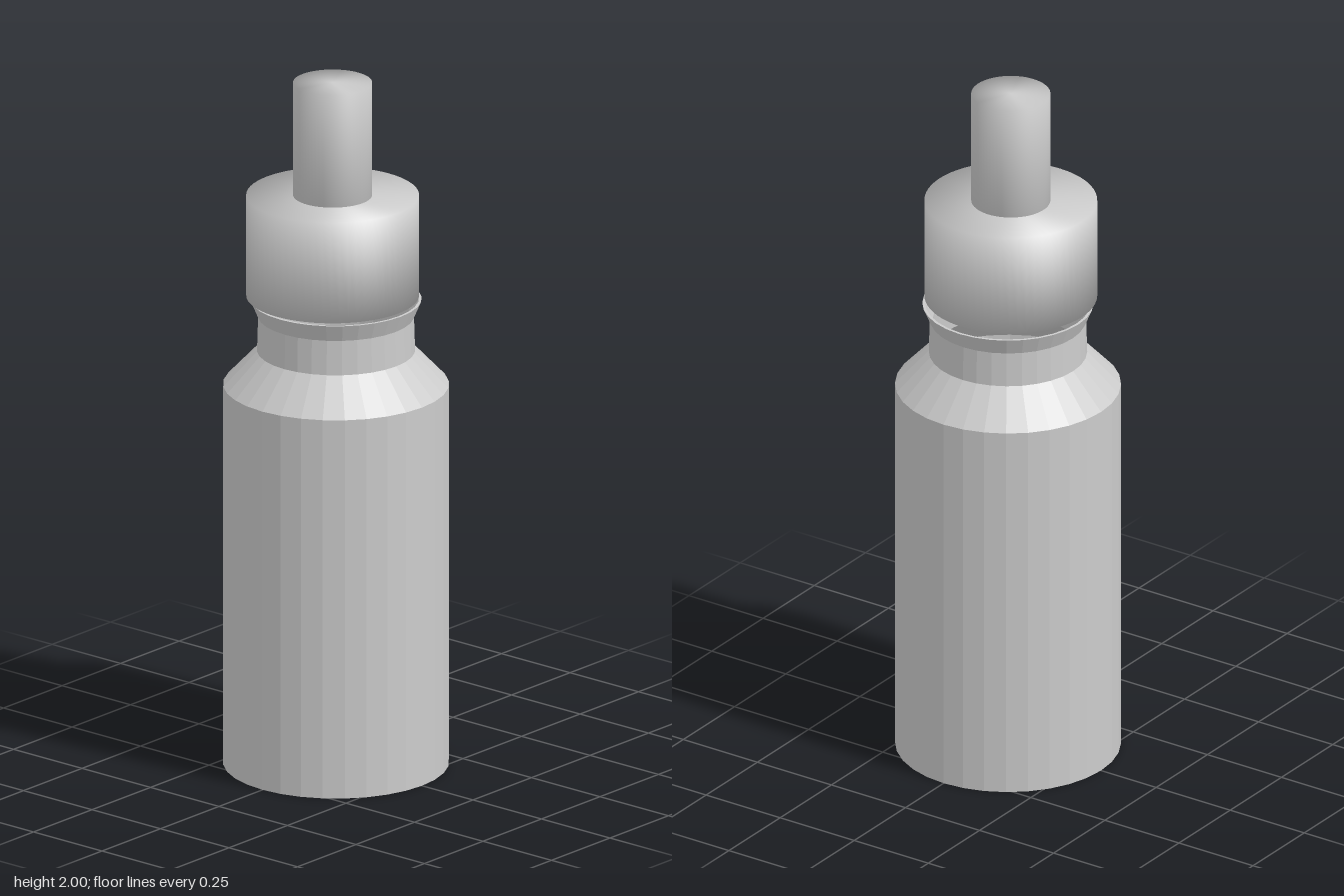
import * as THREE from 'three';

// Turns a list of [radius, height] pairs around the vertical axis
function turned(name, profile, sides, flatShading) {
  const points = profile.map(([r, y]) => new THREE.Vector2(r, y));
  const material = new THREE.MeshStandardMaterial({
    color: 0xcccccc, flatShading, side: THREE.DoubleSide,
  });
  const mesh = new THREE.Mesh(new THREE.LatheGeometry(points, sides), material);
  mesh.name = name;
  return mesh;
}

export function createModel() {
  const model = new THREE.Group();
  model.name = 'bottle';

  // Faceted thin-walled shell, open at the bottom and at the mouth
  const outer = [[0.314, 0], [0.314, 1.11], [0.22, 1.21], [0.217, 1.31], [0.238, 1.36]];
  const wall = 0.008;
  const inner = outer.map(([r, y]) => [r - wall, y]).reverse();
  model.add(turned('bottleBody', [inner[inner.length - 1], ...outer, ...inner], 32, true));

  // Smooth cap and stem, sitting slightly off the bottle's axis
  const stopper = new THREE.Group();
  stopper.name = 'stopper';
  stopper.position.set(-0.018, 0, 0.003);
  stopper.add(
    turned('cap', [[0, 1.375], [0.24, 1.375], [0.24, 1.67], [0, 1.67]], 64, false),
    turned('stem', [[0, 1.66], [0.11, 1.66], [0.11, 2], [0, 2]], 64, false),
  );
  model.add(stopper);

  return model;
}
